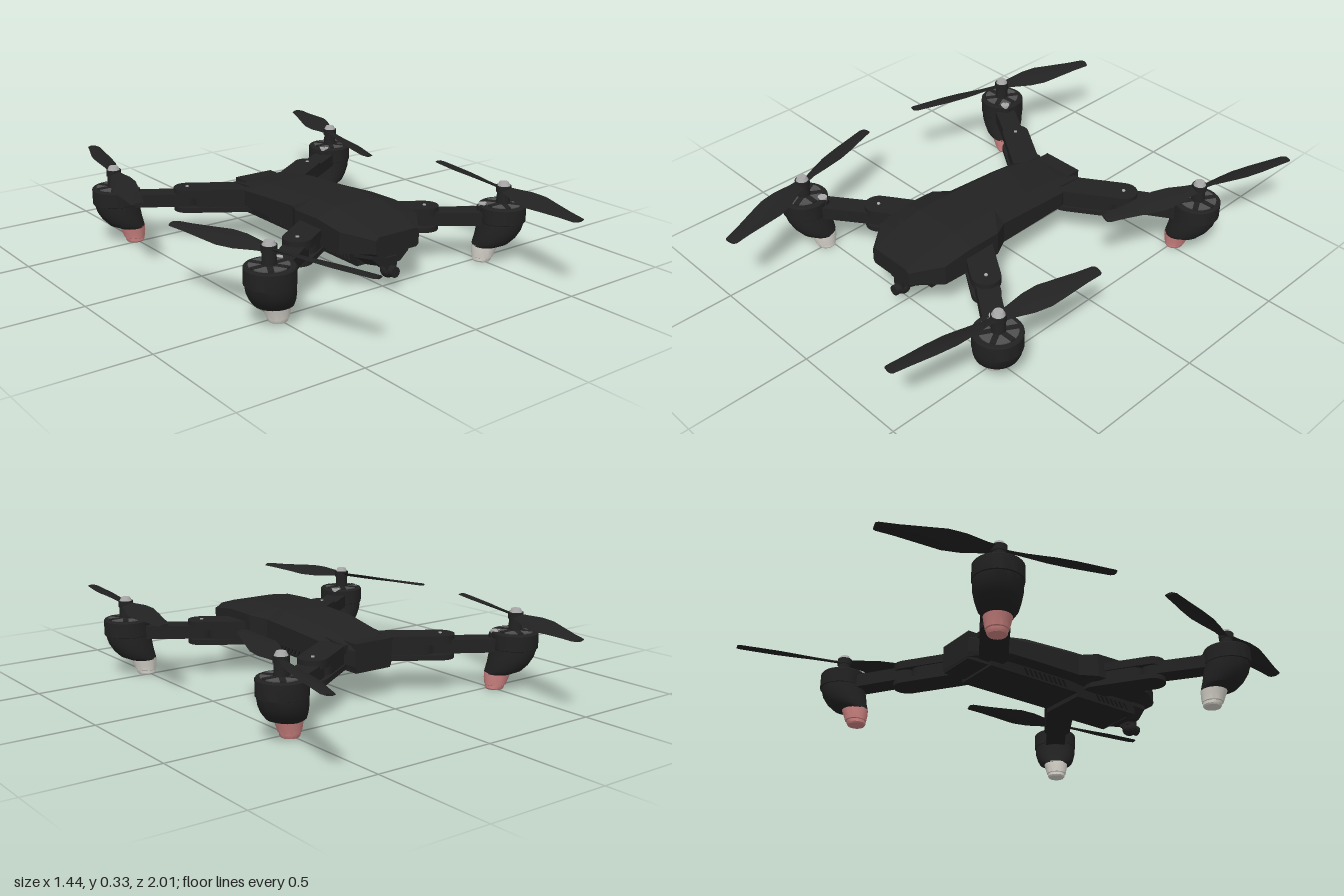
import * as THREE from 'three';
import { toCreasedNormals } from 'three/addons/utils/BufferGeometryUtils.js';

const mat = (name, color, side = THREE.FrontSide) => {
  const m = new THREE.MeshStandardMaterial({ color, side });
  m.name = name;
  return m;
};

// Skin a stack of rings (arrays of [x, y, z]) and cap both ends
function loft(rings, crease = 0.5) {
  const pos = [];
  const tri = (a, b, c) => pos.push(...a, ...b, ...c);
  const n = rings[0].length;
  for (let i = 0; i < rings.length - 1; i++) {
    for (let j = 0; j < n; j++) {
      const k = (j + 1) % n, lo = rings[i], hi = rings[i + 1];
      tri(lo[j], hi[j], hi[k]);
      tri(lo[j], hi[k], lo[k]);
    }
  }
  const first = rings[0], last = rings[rings.length - 1];
  for (let j = 1; j < n - 1; j++) {
    tri(first[0], first[j], first[j + 1]);
    tri(last[0], last[j + 1], last[j]);
  }
  const g = new THREE.BufferGeometry();
  g.setAttribute('position', new THREE.Float32BufferAttribute(pos, 3));
  return toCreasedNormals(g, crease);
}

// Horizontal circle as a ring
const circle = (cx, y, cz, r, n = 28) => Array.from({ length: n }, (_, i) => {
  const a = (i / n) * Math.PI * 2;
  return [cx + r * Math.cos(a), y, cz + r * Math.sin(a)];
});

// Hull section: flat top, sloped shoulder, side, narrower bottom
const section = ([z, wt, w, yt, ys, yl, wb, yb]) => [
  [-wt, yt, z], [wt, yt, z], [w, ys, z], [w, yl, z],
  [wb, yb, z], [-wb, yb, z], [-w, yl, z], [-w, ys, z],
];

export function createModel() {
  const model = new THREE.Group();
  const black = mat('body black', 0x222222);
  const wallBlack = mat('vent wall black', 0x1e1e1e, THREE.DoubleSide);
  const darkGrey = mat('motor grey', 0x505050);
  const silver = mat('screw silver', 0xa8a8a8);
  const white = mat('front lamp white', 0xdad7ce);
  const pink = mat('rear lamp pink', 0xcf8583);

  const add = (name, geo, material, parent = model, x = 0, y = 0, z = 0) => {
    const m = new THREE.Mesh(geo, material);
    m.name = name;
    m.position.set(x, y, z);
    parent.add(m);
    return m;
  };
  const box = (w, h, d) => new THREE.BoxGeometry(w, h, d);
  const cyl = (r1, r2, h, n = 24) => new THREE.CylinderGeometry(r1, r2, h, n);

  // Main shell, tail to nose
  add('bodyShell', loft([
    [-0.37, 0.08, 0.09, 0.225, 0.21, 0.15, 0.085, 0.13],
    [-0.21, 0.09, 0.148, 0.264, 0.23, 0.165, 0.10, 0.152],
    [-0.10, 0.10, 0.152, 0.28, 0.24, 0.165, 0.10, 0.155],
    [0.13, 0.10, 0.155, 0.294, 0.255, 0.165, 0.10, 0.155],
    [0.20, 0.10, 0.193, 0.296, 0.265, 0.165, 0.12, 0.148],
    [0.34, 0.10, 0.195, 0.296, 0.268, 0.165, 0.12, 0.148],
    [0.47, 0.10, 0.19, 0.272, 0.25, 0.165, 0.12, 0.148],
    [0.58, 0.09, 0.105, 0.24, 0.228, 0.175, 0.095, 0.165],
  ].map(section), 0.15), black);
  add('tailLip', box(0.18, 0.03, 0.09), black, model, 0, 0.225, -0.325);
  add('tailBase', box(0.17, 0.035, 0.1), black, model, 0, 0.14, -0.317);
  for (const s of [-1, 1]) {
    add('sideRail', box(0.02, 0.02, 0.42), black, model, s * 0.112, 0.242, -0.13).rotation.x = -0.09;
  }

  // Hollow lower hull: slotted side walls, floors and end plates
  const ventWall = (z0, z1, y0, y1, v0, v1, count, h0, h1) => {
    const shape = new THREE.Shape([[z0, y0], [z1, y0], [z1, y1], [z0, y1]].map(p => new THREE.Vector2(...p)));
    const step = (v1 - v0) / count;
    for (let i = 0; i < count; i++) {
      const z = v0 + i * step + 0.014;
      shape.holes.push(new THREE.Path([[z, h0], [z - 0.016, h1], [z - 0.004, h1], [z + 0.012, h0]]
        .map(p => new THREE.Vector2(...p))));
    }
    const geo = new THREE.ExtrudeGeometry(shape, { depth: 0.006, bevelEnabled: false });
    geo.rotateY(-Math.PI / 2);
    for (const s of [-1, 1]) add('ventWall', geo, wallBlack, model, s * 0.1 + 0.003, 0, 0);
    const mid = (z0 + z1) / 2, h = y1 - y0;
    add('hullFloor', box(0.2, 0.008, z1 - z0), black, model, 0, y0 + 0.004, mid);
    for (const z of [z0 + 0.004, z1 - 0.004]) {
      add('hullEnd', box(0.2, h, 0.008), black, model, 0, y0 + h / 2, z);
    }
  };
  ventWall(0.16, 0.47, 0.095, 0.155, 0.26, 0.43, 7, 0.106, 0.131);
  ventWall(-0.27, 0.16, 0.113, 0.165, -0.11, 0.105, 9, 0.121, 0.149);

  // Chin and camera
  add('chin', loft([
    [0.46, 0.10, 0.11, 0.17, 0.165, 0.13, 0.06, 0.092],
    [0.54, 0.085, 0.09, 0.17, 0.165, 0.14, 0.05, 0.105],
  ].map(section), 0.15), black);
  add('cameraMount', box(0.05, 0.05, 0.05), black, model, 0, 0.11, 0.525);
  add('cameraBall', new THREE.SphereGeometry(0.031, 20, 14), black, model, 0, 0.078, 0.53);
  add('cameraLens', cyl(0.021, 0.021, 0.03), black, model, 0, 0.078, 0.558).rotation.x = Math.PI / 2;

  // Flat link with round ends between two points in plan
  const link = (name, [x0, z0], [x1, z1], r, y0, y1) => {
    const len = Math.hypot(x1 - x0, z1 - z0);
    const s = new THREE.Shape();
    s.absarc(0, 0, r, Math.PI / 2, Math.PI * 1.5, false);
    s.absarc(len, 0, r, -Math.PI / 2, Math.PI / 2, false);
    const g = new THREE.ExtrudeGeometry(s, { depth: y1 - y0, bevelEnabled: false, curveSegments: 10 });
    g.rotateX(-Math.PI / 2);
    add(name, g, black, model, x0, y0, z0).rotation.y = Math.atan2(-(z1 - z0), x1 - x0);
  };

  // Twisted blade along +z
  const bladeGeo = spin => loft([
    [0, 0.022, 0.25], [0.05, 0.026, 0.4], [0.13, 0.044, 0.36], [0.2, 0.051, 0.3],
    [0.28, 0.043, 0.22], [0.37, 0.032, 0.15], [0.44, 0.026, 0.1], [0.449, 0.02, 0.1],
  ].map(([d, c, twist]) => {
    const co = Math.cos(twist), si = Math.sin(twist) * spin;
    return [[-c, 0], [-c * 0.3, 0.005], [c * 0.4, 0.005], [c, 0], [c * 0.4, -0.004], [-c * 0.3, -0.004]]
      .map(([x, y]) => [x * co - y * si, x * si + y * co, d]);
  }), 0.6);

  // Arms, motor pods, lamps and rotors
  for (const sx of [-1, 1]) {
    for (const sz of [-1, 1]) {
      const px = 0.57 * sx, pz = 0.563 * sz;
      const hinge = [0.315 * sx, sz > 0 ? 0.38 : -0.40];
      const root = [0.12 * sx, sz > 0 ? 0.25 : -0.27];
      link('bracketTop', root, hinge, 0.057, 0.198, 0.232);
      link('bracketBottom', root, hinge, 0.057, 0.134, 0.155);
      link('bracketCore', root, [hinge[0] * 0.8, root[1] + (hinge[1] - root[1]) * 0.68], 0.05, 0.15, 0.2);
      link('arm', hinge, [0.53 * sx, 0.535 * sz], 0.043, 0.158, 0.212);
      add('hingeScrew', cyl(0.007, 0.007, 0.006, 12), silver, model, hinge[0], 0.233, hinge[1]);
      add('armScrewPost', cyl(0.026, 0.026, 0.05), black, model, 0.503 * sx, 0.205, 0.52 * sz);
      add('armScrew', cyl(0.019, 0.019, 0.012), silver, model, 0.503 * sx, 0.235, 0.52 * sz);

      // Pod leans inward toward the lamp as it narrows
      const rings = list => list.map(([y, r, cx, cz]) => circle(cx * sx, y, cz * sz, r));
      add('motorPod', loft(rings([
        [0.066, 0.056, 0.518, 0.528], [0.08, 0.073, 0.535, 0.54], [0.105, 0.083, 0.548, 0.55],
        [0.135, 0.09, 0.558, 0.557], [0.17, 0.092, 0.565, 0.562], [0.172, 0.095, 0.567, 0.563],
        [0.232, 0.095, 0.567, 0.563], [0.237, 0.091, 0.567, 0.563],
      ])), black);
      add('lamp', loft(rings([
        [0, 0.034, 0.506, 0.522], [0.006, 0.038, 0.506, 0.522], [0.018, 0.039, 0.507, 0.523],
        [0.02, 0.043, 0.508, 0.524], [0.045, 0.049, 0.511, 0.525], [0.07, 0.054, 0.516, 0.527],
      ])), sz > 0 ? white : pink);
      add('motorDisc', cyl(0.074, 0.074, 0.008, 28), darkGrey, model, px, 0.237, pz);
      for (let i = 0; i < 3; i++) {
        add('motorSpoke', box(0.148, 0.006, 0.022), black, model, px, 0.24, pz).rotation.y = i * Math.PI / 3;
      }

      const rotor = new THREE.Group();
      rotor.name = 'rotor';
      rotor.position.set(px, 0, pz);
      const dx = sz < 0 ? 23 : sx < 0 ? -24 : 12;
      rotor.rotation.y = Math.atan2(dx, -80);
      model.add(rotor);
      add('shaft', cyl(0.025, 0.028, 0.06), black, rotor, 0, 0.265, 0);
      add('hub', cyl(0.03, 0.03, 0.026), black, rotor, 0, 0.3, 0);
      add('hubCap', cyl(0.018, 0.026, 0.016), silver, rotor, 0, 0.32, 0);
      const blade = bladeGeo(sx * sz);
      for (const turn of [0, Math.PI]) {
        add('blade', blade, black, rotor, 0, 0.298, 0).rotation.y = turn;
      }
    }
  }
  return model;
}
